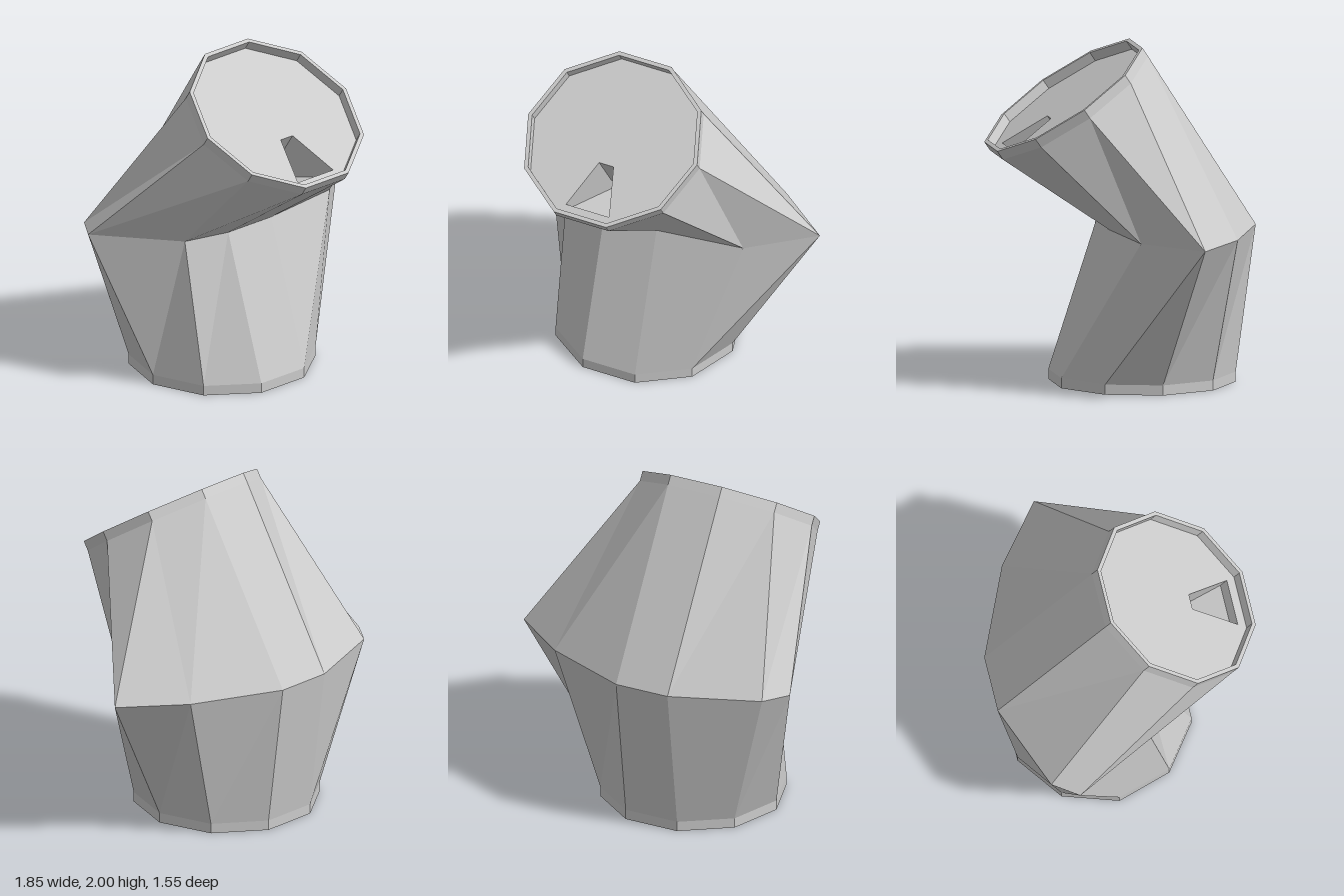
import * as THREE from 'three';

const SIDES = 10, R = 0.55, R_IN = 0.525, LIP = 0.06;
const TILT = 0.588; // forward lean of the mouth
const baseAt = new THREE.Vector3(-0.13, 0, -0.137);
const mouthAt = new THREE.Vector3(-0.13, 1.71, 0.335);
const material = new THREE.MeshStandardMaterial({ color: 0xcccccc, flatShading: true, side: THREE.DoubleSide });

// Regular ring in the local frame of an end
function ring(r, y) {
  return Array.from({ length: SIDES }, (_, i) => {
    const a = (i / SIDES) * Math.PI * 2;
    return new THREE.Vector3(r * Math.cos(a), y, r * Math.sin(a));
  });
}
const baseRing = (r, y) => ring(r, y).map(p => p.add(baseAt));
const mouthRing = (r, y) => ring(r, y).map(p => p.applyAxisAngle(new THREE.Vector3(1, 0, 0), TILT).add(mouthAt));

// Faceted skin through a sequence of closed loops
function skin(loops) {
  const pts = [];
  for (let k = 0; k + 1 < loops.length; k++) {
    const lo = loops[k], up = loops[k + 1], n = lo.length;
    for (let i = 0; i < n; i++) {
      const j = (i + 1) % n;
      pts.push(lo[i], up[i], lo[j], lo[j], up[i], up[j]);
    }
  }
  const g = new THREE.BufferGeometry().setFromPoints(pts);
  g.computeVertexNormals();
  return g;
}

function mesh(name, geometry) {
  const m = new THREE.Mesh(geometry, material);
  m.name = name;
  return m;
}

const outline = pts => pts.map(p => new THREE.Vector2(p.x, -p.z));

export function createModel() {
  const model = new THREE.Group();
  model.name = 'bentPipe';

  // Widened ring at the bend
  const bend = [
    [0.92, -0.275], [0.57, 0.03], [0.04, 0.1], [-0.3, 0.1], [-0.58, 0.03],
    [-0.925, -0.43], [-0.82, -0.58], [-0.3, -0.78], [0.04, -0.78], [0.57, -0.55],
  ].map(([x, z]) => new THREE.Vector3(x, 0.93, z));

  // Outer shell with both recessed lips
  model.add(mesh('pipeShell', skin([
    baseRing(R_IN, LIP), baseRing(R_IN, 0), baseRing(R, 0), baseRing(R, LIP),
    bend,
    mouthRing(R, -LIP), mouthRing(R, 0), mouthRing(R_IN, 0), mouthRing(R_IN, -LIP),
  ])));

  // Recessed bottom plate
  const bottom = mesh('bottomPlate', new THREE.ShapeGeometry(new THREE.Shape(outline(ring(R_IN, 0)))).rotateX(Math.PI / 2));
  bottom.position.copy(baseAt).setY(LIP);
  model.add(bottom);

  // Mouth plate with a tapered slot
  const mouth = new THREE.Group();
  mouth.name = 'mouth';
  mouth.position.copy(mouthAt);
  mouth.rotation.x = TILT;
  const corners = [[0.047, 0.142], [0.14, 0.442], [-0.14, 0.442], [-0.047, 0.142]]
    .map(([x, z]) => new THREE.Vector3(x, -LIP, z));
  const plate = new THREE.Shape(outline(ring(R_IN, 0)));
  plate.holes.push(new THREE.Path(outline(corners)));
  const plateMesh = mesh('mouthPlate', new THREE.ShapeGeometry(plate).rotateX(-Math.PI / 2));
  plateMesh.position.y = -LIP;
  mouth.add(plateMesh);

  // Slot walls and sloping slot floor
  const deep = corners.map(p => new THREE.Vector3(p.x, p.z < 0.3 ? -0.46 : -0.13, p.z));
  const middle = deep[0].clone().add(deep[1]).add(deep[2]).add(deep[3]).multiplyScalar(0.25);
  mouth.add(mesh('slot', skin([corners, deep, deep.map(() => middle)])));
  model.add(mouth);

  return model;
}
